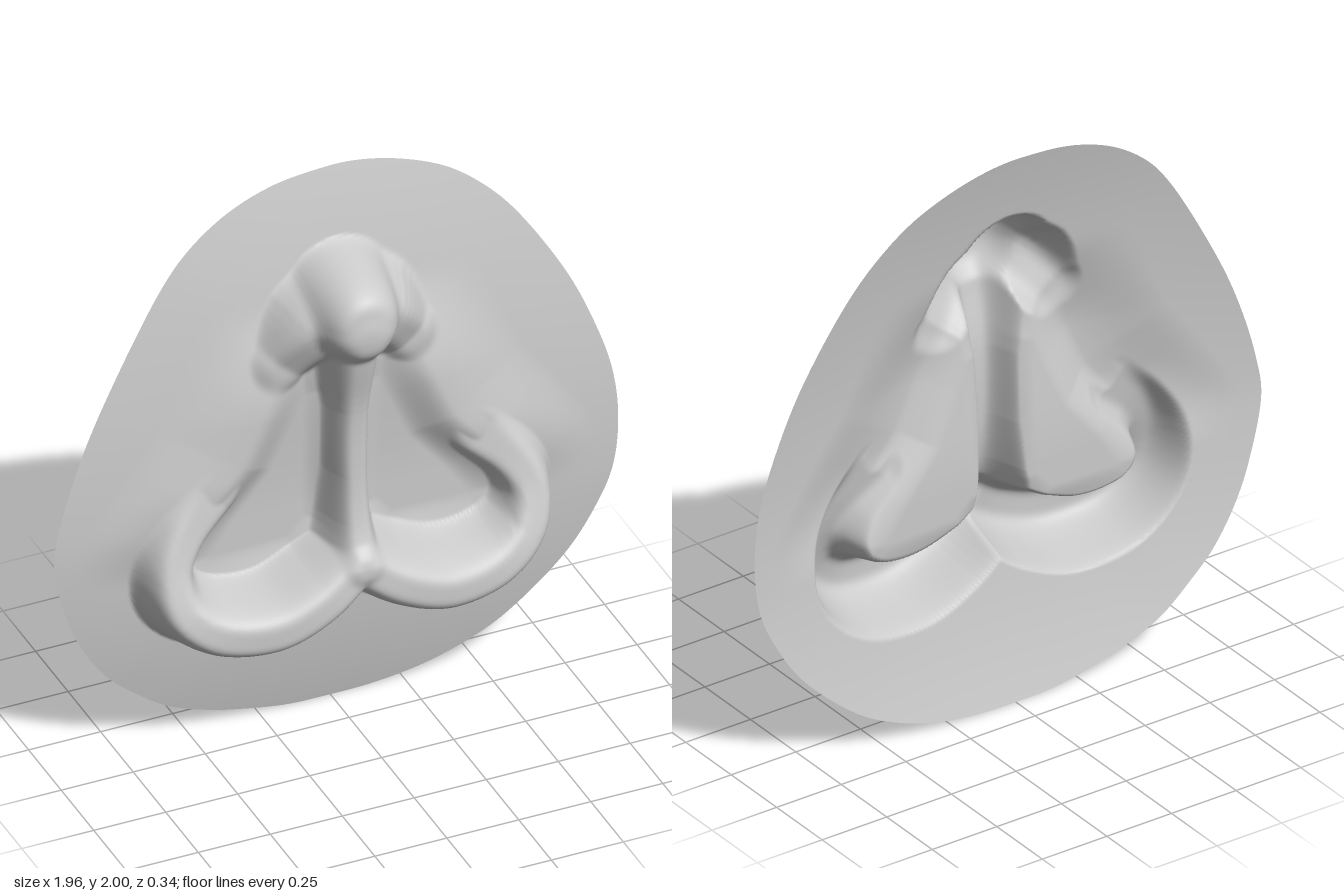
import * as THREE from 'three';

const { smoothstep, lerp, clamp } = THREE.MathUtils;

// Rim of the sheet, clockwise from the top
const OUTLINE = [
  [0.08, 2], [0.23, 1.97], [0.4, 1.9], [0.52, 1.81], [0.63, 1.69], [0.8, 1.42], [0.89, 1.22],
  [0.96, 1], [0.98, 0.8], [0.96, 0.62], [0.9, 0.48], [0.8, 0.33], [0.6, 0.15], [0.47, 0.08],
  [0.32, 0.03], [0.15, 0.004], [0, 0], [-0.15, 0.004], [-0.3, 0.03], [-0.42, 0.06], [-0.57, 0.12],
  [-0.68, 0.2], [-0.78, 0.29], [-0.87, 0.42], [-0.93, 0.56], [-0.98, 0.78], [-0.96, 0.92],
  [-0.9, 1.12], [-0.81, 1.33], [-0.6, 1.7], [-0.5, 1.82], [-0.36, 1.92], [-0.2, 1.98], [-0.04, 2],
];

// Raised ridges of one half: [x, y, crest z, half width]; mirrored through |x|.
// A higher power gives a fuller top and steeper sides.
const RIDGES = [
  // bulb at the top
  { power: 2.6, pts: [[0, 1.58, 0.16, 0.185], [0, 1.56, 0.16, 0.185]] },
  // soft shoulders of the bulb
  { power: 1.8, pts: [[0, 1.56, 0.1, 0.2], [0.12, 1.5, 0.07, 0.17], [0.22, 1.39, 0, 0.11]] },
  // central spine
  { power: 1.7, pts: [[0, 1.53, 0.13, 0.16], [0, 1.4, 0.11, 0.12], [0, 1.2, 0.07, 0.085],
    [0, 0.95, 0.065, 0.08], [0, 0.78, 0.085, 0.095], [0, 0.65, 0.13, 0.125]] },
  // thick curled lip
  { power: 2.1, pts: [[0.46, 0.95, -0.01, 0.1], [0.57, 0.83, 0.025, 0.1], [0.62, 0.71, 0.06, 0.105],
    [0.59, 0.585, 0.1, 0.12], [0.475, 0.5, 0.135, 0.133], [0.3, 0.483, 0.158, 0.137],
    [0.14, 0.54, 0.155, 0.133], [0, 0.635, 0.13, 0.12]] },
].map(({ power, pts }) => {
  // smooth each path through its points
  const curve = new THREE.CatmullRomCurve3(pts.map(([x, y, z]) => new THREE.Vector3(x, y, z)), false, 'catmullrom');
  const last = pts.length - 1, steps = last * 6;
  const path = Array.from({ length: steps + 1 }, (_, i) => {
    const p = curve.getPoint(i / steps), k = Math.min(Math.floor(i / 6), last - 1);
    return [p.x, p.y, p.z, lerp(pts[k][3], pts[k + 1][3], i / 6 - k)];
  });
  return { power, path };
});

// Core of a pocket; its walls blend out from this shape
const POCKET = [[0.14, 1.37], [0.08, 1.25], [0.07, 0.74], [0.16, 0.64], [0.47, 0.63], [0.52, 0.69],
  [0.41, 0.85], [0.29, 1], [0.21, 1.18]];

// Distance to a segment and the position along it
function toSegment(x, y, a, b) {
  const dx = b[0] - a[0], dy = b[1] - a[1];
  const s = clamp(((x - a[0]) * dx + (y - a[1]) * dy) / (dx * dx + dy * dy), 0, 1);
  return [Math.hypot(x - a[0] - s * dx, y - a[1] - s * dy), s];
}

function pocketDistance(x, y) {
  let d = Infinity, inside = false;
  POCKET.forEach((a, i) => {
    const b = POCKET[(i + 1) % POCKET.length];
    d = Math.min(d, toSegment(x, y, a, b)[0]);
    if ((a[1] > y) !== (b[1] > y) && x < a[0] + ((b[0] - a[0]) * (y - a[1])) / (b[1] - a[1])) inside = !inside;
  });
  return inside ? -d : d;
}

// Height of the sheet; t runs from 0 at the middle to 1 at the rim
function height(px, y, t) {
  const x = Math.abs(px), pocket = pocketDistance(x, y);
  let base = -0.1 - 0.06 * ((y - 0.9) / 1.05) ** 2 + 0.07 * (1 - t * t);
  // gentle apron rising to the outer edge of the pocket, then the pocket floor
  base = lerp(base, 0, (1 - smoothstep(pocket, 0.05, 0.4)) * smoothstep(y, 0.65, 1) * (1 - smoothstep(y, 1.2, 1.6)));
  base = lerp(base, lerp(-0.075, -0.045, smoothstep(y, 0.8, 1.4)), 1 - smoothstep(pocket, -0.06, 0.1));
  let sum = 0;
  for (const { power, path } of RIDGES) {
    let near = Infinity, crest = 0, width = 1;
    for (let i = 0; i < path.length - 1; i++) {
      const a = path[i], b = path[i + 1];
      const [d, s] = toSegment(x, y, a, b);
      if (d < near) [near, crest, width] = [d, lerp(a[2], b[2], s), lerp(a[3], b[3], s)];
    }
    const u = Math.min(near / width, 1);
    const rise = (crest - base) * (0.5 + 0.5 * Math.cos(Math.PI * u ** power));
    sum += Math.max(rise, 0) ** 7;
  }
  return base + sum ** (1 / 7);
}

export function createModel() {
  const rings = 130, sides = 280, cy = 0.9;
  const curve = new THREE.CatmullRomCurve3(OUTLINE.map(([x, y]) => new THREE.Vector3(x, y, 0)), true);
  const rim = curve.getSpacedPoints(sides).slice(0, sides);

  // Concentric rings from the middle out to the rim
  const position = [0, cy, height(0, cy, 0)];
  const index = [];
  for (let r = 1; r <= rings; r++) {
    const t = r / rings;
    for (let s = 0; s < sides; s++) {
      const x = rim[s].x * t, y = lerp(cy, rim[s].y, t);
      position.push(x, y, height(x, y, t));
      const n = (s + 1) % sides, o = 1 + (r - 1) * sides, i = o - sides;
      if (r === 1) index.push(0, o + n, o + s);
      else index.push(i + s, o + n, o + s, i + s, i + n, o + n);
    }
  }
  const geometry = new THREE.BufferGeometry();
  geometry.setAttribute('position', new THREE.Float32BufferAttribute(position, 3));
  geometry.setIndex(index);
  geometry.computeVertexNormals();

  const material = new THREE.MeshStandardMaterial({ color: 0xcccccc, side: THREE.DoubleSide });
  const sheet = new THREE.Mesh(geometry, material);
  sheet.name = 'reliefSheet';
  const group = new THREE.Group();
  group.name = 'moldedRelief';
  group.add(sheet);
  return group;
}
